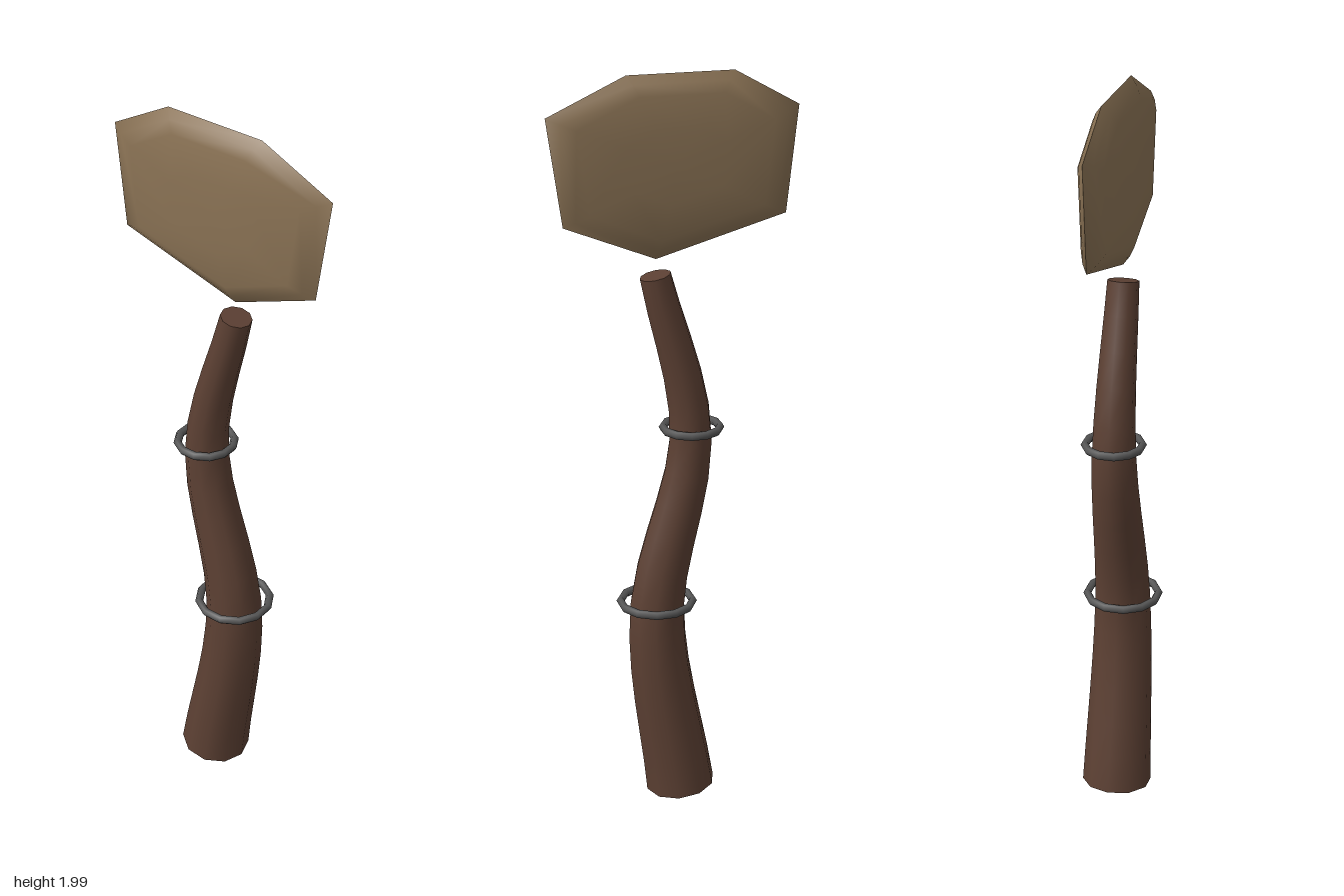
import * as THREE from 'three';

const mat = (color) => new THREE.MeshStandardMaterial({ color });

// Tapered wooden shaft: a cylinder bent along a curve lying in the XY plane
function bentShaft() {
  const curve = new THREE.CatmullRomCurve3([
    [-0.02, 0.02], [0.045, 0.55], [-0.048, 1.05], [0.047, 1.487],
  ].map(([x, y]) => new THREE.Vector3(x, y, 0)));
  const geo = new THREE.CylinderGeometry(0.041, 0.095, 1, 10, 16);
  geo.rotateY(Math.PI / 2);
  const pos = geo.attributes.position, nor = geo.attributes.normal;
  const p = new THREE.Vector3(), n = new THREE.Vector3(), zAxis = new THREE.Vector3(0, 0, 1);
  for (let i = 0; i < pos.count; i++) {
    const t = THREE.MathUtils.clamp(pos.getY(i) + 0.5, 0, 1);
    const tangent = curve.getTangentAt(t);
    const angle = -Math.atan2(tangent.x, tangent.y);
    p.set(pos.getX(i), 0, pos.getZ(i)).applyAxisAngle(zAxis, angle).add(curve.getPointAt(t));
    n.fromBufferAttribute(nor, i).applyAxisAngle(zAxis, angle);
    pos.setXYZ(i, p.x, p.y, p.z);
    nor.setXYZ(i, n.x, n.y, n.z);
  }
  return geo;
}

// One face of the stone head: outline rings shrinking inward and rising to a flat crown
function headFace(side) {
  const outline = [
    [-0.33, 1.905], [-0.3, 1.627], [0.045, 1.53], [0.285, 1.627],
    [0.325, 1.905], [0.12, 2], [-0.16, 2],
  ];
  const rings = [[1, 0], [0.9, 0.018], [0.78, 0.032], [0.4, 0.039]];
  const cy = 1.775, n = outline.length, verts = [], index = [];
  const tri = (a, b, c) => index.push(...(side > 0 ? [a, b, c] : [a, c, b]));
  for (const [s, z] of rings) {
    for (const [x, y] of outline) verts.push(x * s, cy + (y - cy) * s, z * side);
  }
  verts.push(0, cy, 0.04 * side);
  for (let r = 0; r < rings.length; r++) {
    for (let i = 0; i < n; i++) {
      const a = r * n + i, b = r * n + (i + 1) % n;
      if (r === rings.length - 1) {
        tri(a, b, rings.length * n);
      } else {
        tri(a, b, b + n);
        tri(a, b + n, a + n);
      }
    }
  }
  const geo = new THREE.BufferGeometry();
  geo.setAttribute('position', new THREE.Float32BufferAttribute(verts, 3));
  geo.setIndex(index);
  geo.computeVertexNormals();
  return geo;
}

export function createModel() {
  const model = new THREE.Group();

  const shaft = new THREE.Mesh(bentShaft(), mat(0x5c4033));
  shaft.name = 'shaft';
  model.add(shaft);

  // Head floats just above the shaft
  const head = new THREE.Group();
  head.name = 'head';
  const stone = mat(0x8b7355);
  for (const side of [1, -1]) {
    const face = new THREE.Mesh(headFace(side), stone);
    face.name = side > 0 ? 'headFront' : 'headBack';
    head.add(face);
  }
  model.add(head);

  // Metal bands around the shaft
  const metal = mat(0x555555);
  const bands = [['lowerBand', 0.046, 0.58, 0.097], ['upperBand', -0.05, 1.068, 0.075]];
  for (const [name, x, y, radius] of bands) {
    const geo = new THREE.TorusGeometry(radius, 0.011, 6, 12);
    geo.rotateZ(Math.PI / 12).rotateX(Math.PI / 2);
    const band = new THREE.Mesh(geo, metal);
    band.name = name;
    band.position.set(x, y, 0);
    model.add(band);
  }
  return model;
}
